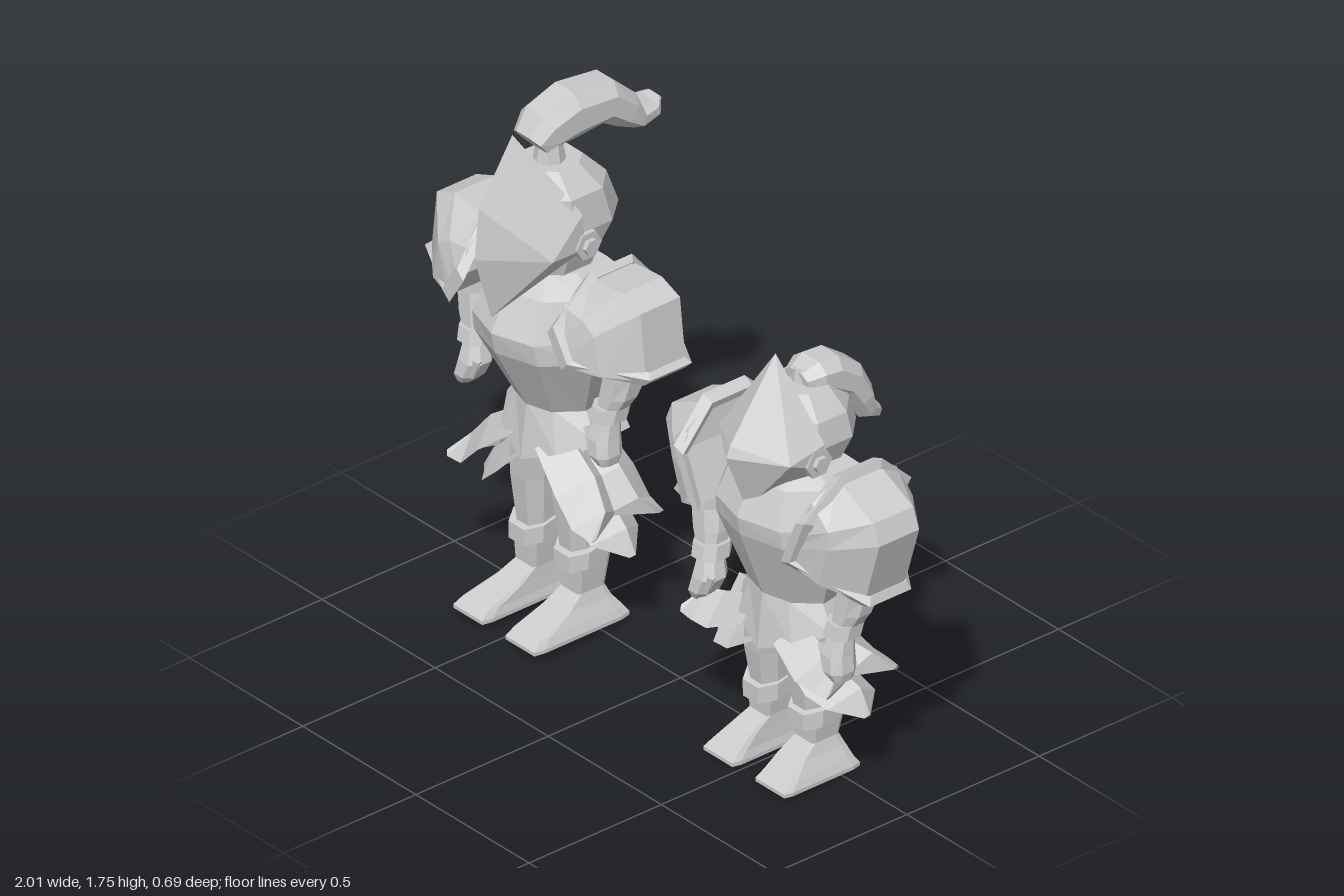
import * as THREE from 'three';

const steel = new THREE.MeshStandardMaterial({ color: 0xcccccc, flatShading: true });
const shell = new THREE.MeshStandardMaterial({ color: 0xcccccc, flatShading: true, side: THREE.DoubleSide });
const lerp = THREE.MathUtils.lerp;

function meshFrom(name, tris, mat = steel) {
  const g = new THREE.BufferGeometry();
  g.setAttribute('position', new THREE.Float32BufferAttribute(tris.flat(2), 3));
  g.computeVertexNormals();
  const m = new THREE.Mesh(g, mat);
  m.name = name;
  return m;
}

// Skin a row of rings; solids are turned so their faces point outwards
function loft(name, rings, { closed = true, caps = true, loop = false, mat = steel } = {}) {
  const tris = [], n = rings[0].length;
  const last = loop ? rings.length : rings.length - 1;
  for (let i = 0; i < last; i++) {
    const a = rings[i], b = rings[(i + 1) % rings.length];
    for (let j = 0; j < (closed ? n : n - 1); j++) {
      const k = (j + 1) % n;
      tris.push([a[j], a[k], b[k]], [a[j], b[k], b[j]]);
    }
  }
  if (caps) for (const [r, flip] of [[rings[0], true], [rings.at(-1), false]]) {
    const c = [0, 1, 2].map(d => r.reduce((s, p) => s + p[d], 0) / n);
    r.forEach((p, j) => tris.push(flip ? [c, r[(j + 1) % n], p] : [c, p, r[(j + 1) % n]]));
  }
  const V = p => new THREE.Vector3(...p);
  const o = V(rings[0][0]);
  const vol = tris.reduce((s, t) => {
    const [a, b, c] = t.map(p => V(p).sub(o));
    return s + a.dot(b.cross(c));
  }, 0);
  if (vol < 0) tris.forEach(t => t.reverse());
  return meshFrom(name, tris, mat);
}

// Eight-sided horizontal ring: centre x, height, half width, front z, back z
const OCT = [[1, .45], [.5, 1], [-.5, 1], [-1, .45], [-1, -.45], [-.5, -1], [.5, -1], [1, -.45]];
const BOX = [[1, .8], [.9, 1], [-.9, 1], [-1, .8], [-1, -.8], [-.9, -1], [.9, -1], [1, -.8]];
const oct = ([cx, y, w, zf, zb], s = 1, plan = OCT) =>
  plan.map(([a, b]) => [s * (cx + a * w), y, (zf + zb) / 2 + b * (zf - zb) / 2]);

// Breastplate ring: ridged front, flat back, centre may hang lower than the sides
const PLATE = [[0, 1], [.6, .78], [1, .1], [.85, -1], [0, -1], [-.85, -1], [-1, .1], [-.6, .78]];
const plate = ([y, w, zf, zb, yc = y]) =>
  PLATE.map(([a, b]) => [a * w, lerp(yc, y, Math.abs(a)), (zf + zb) / 2 + b * (zf - zb) / 2]);

// Feather crest swept along a path of [z, y, half width, half height]
function plume(path) {
  return loft('plume', path.map(([z, y, w, h], i) => {
    const p = path[Math.max(i - 1, 0)], q = path[Math.min(i + 1, path.length - 1)];
    const l = Math.hypot(q[0] - p[0], q[1] - p[1]);
    const nz = -(q[1] - p[1]) / l, ny = (q[0] - p[0]) / l;
    return OCT.map(([a, b]) => [a * w, y + ny * b * h, z + nz * b * h]);
  }));
}

// Pointed visor shell: apex, cheek corner, rear corners, nose ridge, chin
function visor({ apex, cheek, upper, lower, brow, nose, chin }) {
  const tris = [];
  for (const s of [1, -1]) {
    const m = p => [s * p[0], p[1], p[2]];
    const [a, k, u, l, b, n, c] = [apex, cheek, upper, lower, brow, nose, chin].map(m);
    for (const t of [[a, b, k], [b, n, k], [a, k, u], [k, l, u], [n, c, k], [k, c, l]])
      tris.push(s > 0 ? t : t.reverse());
  }
  return meshFrom('visor', tris, shell);
}

// Shoulder dome: central strip profile bulging down to two rim points at each edge
function pauldron(s, { strip, rim }) {
  const g = new THREE.Group();
  g.name = 'pauldron';
  const zc = .026, edge = strip.map((_, i) => [0, 1].map(d => lerp(rim[0][d], rim[1][d], i / 3)));
  const row = (z, t) => strip.map((p, i) => [s * lerp(p[0], edge[i][0], t), lerp(p[1], edge[i][1], t), zc + z]);
  const rows = [[-.195, 1], [-.16, .5], [-.075, 0], [.075, 0], [.16, .5], [.195, 1]].map(r => row(...r));
  g.add(loft('dome', rows, { closed: false, caps: false, mat: shell }));
  const [a, b] = [strip[0], strip[3]];
  // Inner wall closing the dome
  const wall = [[a, .075], [rim[0], .19], [rim[1], .19], [b, .075]]
    .map(([[x, y], z]) => [[s * x, y, zc + z], [s * x, y, zc - z]]);
  g.add(loft('innerWall', wall, { closed: false, caps: false, mat: shell }));
  // Raised trim around the eight-sided opening
  const loop = [[...a, .075], [...rim[0], .195], [...rim[1], .195], [...b, .075],
    [...b, -.075], [...rim[1], -.195], [...rim[0], -.195], [...a, -.075]];
  const mid = [0, 1].map(d => (a[d] + b[d]) / 2);
  const len = Math.hypot(b[0] - a[0], b[1] - a[1]);
  const nx = -(b[1] - a[1]) / len, ny = (b[0] - a[0]) / len;
  g.add(loft('trim', loop.map(([x, y, z]) => {
    const at = (k, h) => [s * (mid[0] + (x - mid[0]) * k + nx * h), mid[1] + (y - mid[1]) * k + ny * h, zc + z * k];
    return [at(.9, -.015), at(1.03, -.015), at(1.04, .028), at(.9, .028)];
  }), { loop: true, caps: false }));
  return g;
}

// Hanging skirt plate with drooping edges, along stations of [x, y, z, half width]
function tasset(s, path) {
  const p = path[0], q = path.at(-1), l = Math.hypot(q[0] - p[0], q[1] - p[1]);
  const nx = -(q[1] - p[1]) / l, ny = (q[0] - p[0]) / l;
  return loft('skirtPlate', path.map(([x, y, z, w]) => {
    const at = (h, dz) => [s * (x - nx * h), y - ny * h, z + dz];
    return [at(0, 0), at(.01 + w * .7, w), at(.022, 0), at(.01 + w * .7, -w)];
  }));
}

function arm(s, dy) {
  const g = new THREE.Group();
  g.name = 'arm';
  const part = (name, rows) => g.add(loft(name, rows.map(r => oct(r, s))));
  part('sleeve', [[.31, 1.08, .06, .09, -.04], [.322, .96, .053, .11, -.03], [.31, .89, .052, .115, .01], [.295, .83, .036, .12, .04]]);
  part('cuff', [[.295, .855, .048, .13, .02], [.29, .81, .05, .14, .03]]);
  part('hand', [[.288, .81, .034, .125, .05], [.282, .75, .046, .145, .05], [.298, .7, .038, .15, .055], [.31, .67, .02, .135, .07]]);
  // Thumb
  const thumb = new THREE.Mesh(new THREE.CylinderGeometry(.014, .01, .07, 5), steel);
  thumb.name = 'thumb';
  thumb.position.set(s * .255, .735, .125);
  thumb.rotation.z = s * .35;
  g.add(thumb);
  g.position.y = dy;
  return g;
}

function leg(s, { hip, knee, sole, toe, heel }) {
  const g = new THREE.Group();
  g.name = 'leg';
  const part = (name, rows, plan) => g.add(loft(name, rows.map(r => oct(r, s, plan))));
  part('thigh', [[.075, hip, .078, .11, -.07], [.095, lerp(hip, knee, .5), .066, .1, -.06], [.095, knee - .03, .047, .075, -.05]]);
  // Knee band dips towards the front
  g.add(loft('kneeBand', [[.1, knee + .04, .068, .1, -.07], [.1, knee - .015, .066, .1, -.065]]
    .map(r => oct(r, s).map(([x, y, z]) => [x, y - z * .25, z]))));
  part('boot', [[.1, knee, .05, .075, -.05], [.1, sole + .11, .042, .07, -.03], [.105, sole + .075, .05, .13, -.045],
    [.113, sole + .035, .063, toe - .03, heel + .015], [.115, sole + .012, .071, toe, heel], [.115, sole, .071, toe, heel]], BOX);
  return g;
}

function knight(name, k) {
  const g = new THREE.Group();
  g.name = name;
  g.position.x = k.x;
  g.add(loft('breastplate', k.torso.map(plate)));
  g.add(loft('belt', k.belt.map(plate)));
  g.add(loft('helmet', k.skull.map(r => oct([0, ...r]))));
  g.add(visor(k.visor), plume(k.plume));
  const socket = new THREE.Mesh(new THREE.CylinderGeometry(.035, .05, .09, 8), steel);
  socket.name = 'plumeSocket';
  socket.position.set(0, ...k.socket);
  g.add(socket);
  for (const s of [1, -1]) {
    // Visor hinges
    for (const [r, x] of [[.048, .15], [.026, .165]]) {
      const h = new THREE.Mesh(new THREE.CylinderGeometry(r, r, .03, 6), steel);
      h.name = 'visorHinge';
      h.rotation.z = Math.PI / 2;
      h.position.set(s * x, ...k.hinge);
      g.add(h);
    }
    g.add(pauldron(s, k.pauldron), arm(s, k.armDrop), leg(s, k.leg));
    k.skirt.forEach(p => g.add(tasset(s, p)));
  }
  return g;
}

// Skirt of front, back and lower middle plates: belt height, upper tip, lower tip
const skirt = (top, up, low) => [
  [[.1, top + .01, .08, .08], [.23, lerp(up, top, .62), .085, .1], [.295, up + .05, .1, .085], [.33, up, .165, .01]],
  [[.1, top + .01, -.01, .08], [.23, lerp(up, top, .62), -.01, .1], [.295, up + .05, -.025, .085], [.33, up, -.09, .01]],
  [[.08, top - .04, .03, .09], [.22, lerp(low, top - .04, .52), .025, .1], [.295, low + .07, .02, .09], [.335, low, .02, .012]]];

const tall = {
  x: -.51, armDrop: 0, hinge: [1.31, .05], socket: [1.57, .06],
  torso: [[1.2, .12, .16, -.07], [1.15, .2, .22, -.11], [1.03, .225, .28, -.11], [.96, .236, .265, -.11], [.73, .135, .14, -.08]],
  belt: [[.75, .135, .145, -.085], [.66, .2, .17, -.1, .565]],
  skull: [[1.1, .07, .14, -.05], [1.25, .12, .16, -.08], [1.35, .15, .18, -.137], [1.465, .14, .17, -.095], [1.535, .08, .14, -.03]],
  visor: { apex: [0, 1.665, .2], cheek: [.157, 1.3, .18], upper: [.16, 1.42, .07], lower: [.158, 1.3, .06],
    brow: [0, 1.465, .327], nose: [0, 1.3, .342], chin: [0, 1.085, .28] },
  plume: [[.13, 1.615, .06, .045], [.09, 1.65, .075, .066], [0, 1.67, .075, .08], [-.13, 1.665, .075, .068],
    [-.2, 1.61, .075, .055], [-.245, 1.57, .07, .036], [-.31, 1.572, .055, .028], [-.338, 1.595, .025, .012]],
  pauldron: { strip: [[.22, 1.25], [.37, 1.262], [.45, 1.23], [.475, 1.015]], rim: [[.2, 1.11], [.26, 1.015]] },
  leg: { hip: .62, knee: .255, sole: .025, toe: .27, heel: -.09 },
  skirt: skirt(.66, .445, .34),
};

const short = {
  x: .525, armDrop: -.25, hinge: [1.06, .065], socket: [1.235, -.02],
  torso: [[1.02, .13, .14, -.07], [.98, .2, .19, -.11], [.87, .235, .235, -.11], [.81, .245, .225, -.11], [.56, .145, .13, -.08]],
  belt: [[.58, .145, .14, -.085], [.49, .2, .16, -.1, .4]],
  skull: [[.92, .08, .1, -.08], [1.0, .115, .11, -.11], [1.09, .15, .13, -.15], [1.17, .135, .11, -.13], [1.24, .08, .08, -.09]],
  visor: { apex: [0, 1.364, .09], cheek: [.158, 1.085, .17], upper: [.165, 1.115, .045], lower: [.16, 1.035, .05],
    brow: [0, 1.12, .262], nose: [0, 1.085, .278], chin: [0, .885, .2] },
  plume: [[.01, 1.245, .05, .03], [-.04, 1.25, .075, .05], [-.09, 1.24, .075, .06], [-.16, 1.195, .075, .055],
    [-.2, 1.13, .075, .045], [-.225, 1.075, .065, .035], [-.265, 1.05, .05, .022], [-.285, 1.05, .025, .012]],
  pauldron: { strip: [[.28, 1.08], [.445, 1.0], [.472, .935], [.405, .715]], rim: [[.265, .965], [.2, .81]] },
  leg: { hip: .46, knee: .2, sole: 0, toe: .21, heel: -.075 },
  skirt: skirt(.5, .4, .28),
};

export function createModel() {
  const group = new THREE.Group();
  group.name = 'knights';
  group.add(knight('tallKnight', tall), knight('shortKnight', short));
  return group;
}
